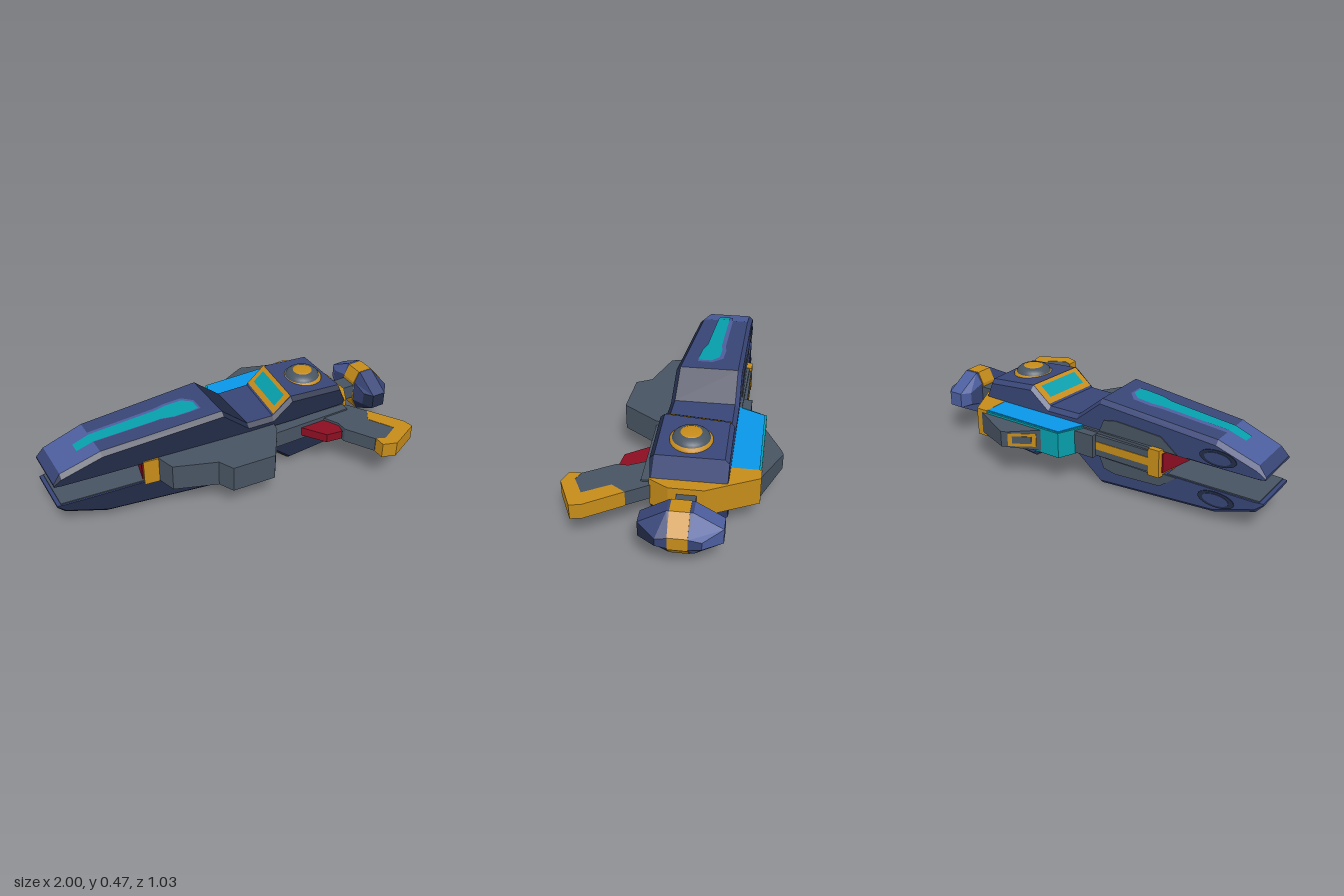
import * as THREE from 'three';

const C = 0.2415; // mid-height: everything is mirrored above and below this

const mat = (name, color, side = THREE.FrontSide) => {
  const m = new THREE.MeshStandardMaterial({ color, side });
  m.name = name;
  return m;
};

// flat slab: outline in [x, z], between two heights
function slab(pts, y0, y1) {
  const s = new THREE.Shape(pts.map(([x, z]) => new THREE.Vector2(x, -z)));
  const g = new THREE.ExtrudeGeometry(s, { depth: y1 - y0, bevelEnabled: false });
  g.rotateX(-Math.PI / 2);
  return g.translate(0, y0, 0);
}

function fromPoints(p) {
  const g = new THREE.BufferGeometry();
  g.setAttribute('position', new THREE.Float32BufferAttribute(p, 3));
  g.computeVertexNormals();
  return g;
}

// flat-shaded skin through rings of [x, y, z], counter-clockwise seen from +x;
// tone(k, i) gives the material index of side i in segment k
function loft(rings, tone) {
  const parts = [[], [], []];
  const n = rings[0].length, first = rings[0], last = rings[rings.length - 1];
  for (let k = 0; k < rings.length - 1; k++) {
    const a = rings[k], b = rings[k + 1];
    for (let i = 0; i < n; i++) {
      const j = (i + 1) % n;
      parts[tone(k, i)].push(...a[i], ...a[j], ...b[j], ...a[i], ...b[j], ...b[i]);
    }
  }
  for (let i = 1; i < n - 1; i++) {
    parts[0].push(...first[0], ...first[i + 1], ...first[i], ...last[0], ...last[i], ...last[i + 1]);
  }
  const g = fromPoints(parts.flat());
  let start = 0;
  parts.forEach((p, m) => {
    g.addGroup(start, p.length / 3, m);
    start += p.length / 3;
  });
  return g;
}

// thin upward-facing strip from columns of two [x, y, z] points (back, front)
function strip(cols) {
  const p = [];
  for (let i = 0; i < cols.length - 1; i++) {
    const [a, b] = cols[i], [c, d] = cols[i + 1];
    p.push(...a, ...b, ...d, ...a, ...d, ...c);
  }
  return fromPoints(p);
}

// reflected copy of a geometry through the mid-height plane
function flipped(geo) {
  const g = geo.index ? geo.toNonIndexed() : geo.clone();
  const p = g.attributes.position, n = g.attributes.normal;
  for (let i = 0; i < p.count; i++) {
    p.setY(i, 2 * C - p.getY(i));
    n.setY(i, -n.getY(i));
  }
  for (const a of [p, n]) {
    for (let i = 0; i < a.count; i += 3) {
      const t = [a.getX(i + 1), a.getY(i + 1), a.getZ(i + 1)];
      a.setXYZ(i + 1, a.getX(i + 2), a.getY(i + 2), a.getZ(i + 2));
      a.setXYZ(i + 2, ...t);
    }
  }
  return g;
}

export function createModel() {
  const root = new THREE.Group();
  root.name = 'blaster';
  const navy = mat('navy', 0x384576);
  const dark = mat('darkNavy', 0x222c48);
  const light = mat('lightNavy', 0x4c5e9e, THREE.DoubleSide);
  const grey = mat('grey', 0x485462);
  const gold = mat('gold', 0xc68c1a, THREE.DoubleSide);
  const teal = mat('teal', 0x069fac, THREE.DoubleSide);
  const blue = mat('brightBlue', 0x0898ea);
  const red = mat('red', 0x8c0e22);
  const navyTones = [navy, dark, light];

  const add = (name, g, m) => {
    const mesh = new THREE.Mesh(g, m);
    mesh.name = name;
    root.add(mesh);
  };
  const pair = (name, g, m) => {
    add(name + 'Upper', g, m);
    add(name + 'Lower', flipped(g), m);
  };
  const box = (name, x0, x1, y0, y1, z0, z1, m) =>
    add(name, new THREE.BoxGeometry(x1 - x0, y1 - y0, z1 - z0)
      .translate((x0 + x1) / 2, (y0 + y1) / 2, (z0 + z1) / 2), m);

  // armour shells: x, top height, back z, front z, skew; dark front walls and rear slope
  const Y0 = 0.302;
  const stations = [
    [-1, 0.315, -0.272, -0.005, 0], [-0.96, 0.362, -0.28, 0.003, 0],
    [-0.75, 0.432, -0.28, 0.022, 0], [-0.105, 0.478, -0.275, 0.075, 0],
    [0.04, 0.357, -0.275, 0.085, 0], [0.19, 0.355, -0.275, 0.092, -0.1],
    [0.3, 0.446, -0.275, 0.097, -0.1], [0.605, 0.422, -0.275, 0.1, 0],
    [0.648, 0.315, -0.272, 0.095, 0]];
  const shellTone = (k, i) => {
    if (i === 3 || i === 4 || (k === 3 && i === 2)) return 1;
    return k === 1 && i === 2 ? 2 : 0;
  };
  pair('shell', loft(stations.map(([x, y, b, f, k]) => {
    const c = Math.min(0.022, 0.5 * (y - Y0));
    return [[b, Y0], [b, y - c], [b + c, y], [f - c, y], [f, y - c], [f, Y0]]
      .map(([z, h]) => [x + k * (z - 0.08), h, z]);
  }), shellTone), navyTones);
  pair('shellLining', slab([[-0.98, -0.27], [-0.5, -0.275], [-0.5, 0.035], [-0.98, -0.008]], 0.296, 0.303), grey);

  // glowing strip along each shell, with a lighter border behind it
  const ridge = x => (x < -0.75 ? 0.432 + (x + 0.75) / 3 : 0.432 + (x + 0.75) * 0.0713);
  const onRidge = (cols, lift) => strip(cols.map(([x, a, b]) => [[x, ridge(x) + lift, a], [x, ridge(x) + lift, b]]));
  pair('glowStrip', onRidge([[-0.84, -0.15, -0.09], [-0.75, -0.15, -0.085], [-0.39, -0.14, -0.06],
    [-0.33, -0.148, -0.04], [-0.24, -0.142, -0.032], [-0.195, -0.1, -0.035]], 0.005), teal);
  pair('glowBorder', onRidge([[-0.85, -0.165, -0.09], [-0.75, -0.172, -0.085], [-0.39, -0.162, -0.06],
    [-0.33, -0.17, -0.04], [-0.23, -0.163, -0.03], [-0.182, -0.11, -0.03]], 0.002), light);

  // framed window on the sloped face
  const onSlope = (t, z, lift) => [0.19 + 0.11 * t - 0.1 * (z - 0.08), 0.355 + 0.091 * t + lift, z];
  const slopePlate = (t0, t1, z0, z1, lift) => strip([t0, t1].map(t => [onSlope(t, z0, lift), onSlope(t, z1, lift)]));
  pair('windowFrame', slopePlate(0.06, 0.98, -0.255, 0.07, 0.005), gold);
  pair('window', slopePlate(0.26, 0.8, -0.22, 0.035, 0.009), teal);

  // domed knobs
  const ring = pts => new THREE.LatheGeometry(pts.map(([r, y]) => new THREE.Vector2(r, y)), 28).translate(0.473, 0, -0.08);
  pair('knobRim', ring([[0.107, 0.42], [0.105, 0.436], [0.093, 0.443]]), gold);
  pair('knobDome', ring([[0.093, 0.443], [0.087, 0.456], [0.072, 0.468], [0.052, 0.473]]), grey);
  pair('knobCentre', ring([[0.052, 0.473], [0.045, 0.477], [0.02, 0.479], [0, 0.479]]), gold);

  // back face details on the shells
  const wall = (pts, z) => {
    const s = new THREE.Shape(pts.map(([x, y]) => new THREE.Vector2(x, y)));
    return new THREE.ExtrudeGeometry(s, { depth: 0.005, bevelEnabled: false }).translate(0, 0, z);
  };
  pair('sidePanel', wall([[-0.55, 0.303], [-0.1, 0.303], [-0.13, 0.375], [-0.2, 0.39], [-0.46, 0.375]], -0.283), grey);
  const oval = (s, z) => new THREE.CylinderGeometry(1, 1, 0.004, 24).rotateX(Math.PI / 2)
    .scale(0.095 * s, 0.04 * s, 1).translate(-0.765, 0.35, z);
  pair('sideOval', oval(1, -0.283), dark);
  pair('sideOvalInner', oval(0.72, -0.286), navy);

  // barrel core and fore grip
  add('barrelCore', slab([[-0.5, 0.04], [-0.43, -0.3], [0.6, -0.27], [0.635, 0.092], [-0.45, 0.05]], 0.172, 0.312), grey);
  add('foreGrip', slab([[-0.475, 0.03], [-0.44, 0.15], [-0.22, 0.23], [-0.18, 0.31], [0.055, 0.325],
    [0.18, 0.14], [0.2, 0.05]], 0.17, 0.315), grey);
  add('triggerHousing', slab([[0.1, 0.05], [0.1, 0.14], [0.635, 0.14], [0.635, 0.05]], 0.195, 0.29), grey);
  add('muzzleBand', slab([[-0.55, 0.045], [-0.47, -0.312], [-0.41, -0.312], [-0.47, 0.055]], 0.169, 0.314), gold);
  add('muzzleLens', slab([[-0.551, 0.02], [-0.481, -0.29], [-0.47, -0.29], [-0.54, 0.02]], 0.19, 0.293), red);
  box('barrelRail', -0.42, -0.09, 0.185, 0.298, -0.309, -0.26, grey);
  box('railStripe', -0.42, -0.09, 0.22, 0.263, -0.312, -0.3, gold);
  box('railCollar', -0.1, 0.02, 0.18, 0.303, -0.336, -0.26, grey);

  // receiver side block
  add('receiverBlock', slab([[-0.02, -0.27], [0.05, -0.422], [0.53, -0.422], [0.53, -0.27]], 0.173, 0.31), teal);
  pair('receiverPanel', slab([[-0.008, -0.265], [0.055, -0.412], [0.52, -0.412], [0.52, -0.265]], 0.308, 0.315), blue);
  add('rearFrame', slab([[0.52, -0.424], [0.585, -0.424], [0.655, -0.28], [0.71, -0.17], [0.71, 0],
    [0.655, 0.098], [0.637, 0.098], [0.637, -0.2], [0.52, -0.25]], 0.166, 0.316), gold);

  // sight hump, thinner towards its ridge, with a framed front slope
  const hump = slab([[0.14, -0.41], [0.31, -0.51], [0.34, -0.52], [0.585, -0.41]], 0.182, 0.301);
  const hp = hump.attributes.position;
  for (let i = 0; i < hp.count; i++) {
    if (hp.getZ(i) < -0.45) hp.setY(i, C + (hp.getY(i) - C) * 0.72);
  }
  hump.computeVertexNormals();
  add('sightHump', hump, grey);
  const sightPlate = (x0, x1, h, out) => {
    const z = x => -0.41 - (x - 0.14) * 0.588 - out;
    return slab([[x0, z(x0)], [x1, z(x1)], [x1, z(x1) + 0.008], [x0, z(x0) + 0.008]], C - h, C + h);
  };
  add('sightFrame', sightPlate(0.18, 0.305, 0.036, 0.003), gold);
  add('sightInset', sightPlate(0.2, 0.285, 0.02, 0.005), grey);

  // trigger and handle
  add('trigger', slab([[0.33, 0.13], [0.42, 0.26], [0.51, 0.272], [0.525, 0.21], [0.47, 0.13]], 0.218, 0.267), red);
  add('handle', slab([[0.46, 0.1], [0.52, 0.22], [0.52, 0.28], [0.61, 0.43], [0.66, 0.45], [0.755, 0.4],
    [0.68, 0.27], [0.725, 0.2], [0.65, 0.08]], 0.202, 0.281), grey);
  add('handleTrim', slab([[0.725, 0.2], [0.84, 0.38], [0.85, 0.435], [0.685, 0.515], [0.612, 0.49],
    [0.612, 0.43], [0.66, 0.45], [0.755, 0.4], [0.68, 0.27]], 0.2, 0.283), gold);

  // rear charging knob: light back faces, dark front faces
  box('knobNeck', 0.68, 0.84, 0.2, 0.283, -0.135, -0.04, grey);
  const octagon = (x, w, h, wi, hi) => [[-w, -hi], [-w, hi], [-wi, h], [wi, h], [w, hi], [w, -hi], [wi, -h], [-wi, -h]]
    .map(([z, y]) => [x, C + y, -0.088 + z]);
  add('chargingKnob', loft([octagon(0.815, 0.14, 0.06, 0.05, 0.035), octagon(0.842, 0.195, 0.12, 0.06, 0.04),
    octagon(0.92, 0.195, 0.12, 0.06, 0.04), octagon(0.998, 0.105, 0.03, 0.045, 0.02)],
  (k, i) => [2, 2, 0, 0, 1, 1, 0, 2][i]), navyTones);
  const half = [[0.81, 0.06], [0.84, 0.122], [0.922, 0.122], [1, 0.034]];
  const band = new THREE.Shape([...half, ...half.map(([x, y]) => [x, -y]).reverse()]
    .map(([x, y]) => new THREE.Vector2(x, C + y)));
  add('chargingKnobBand', new THREE.ExtrudeGeometry(band, { depth: 0.092, bevelEnabled: false }).translate(0, 0, -0.131), gold);

  return root;
}
